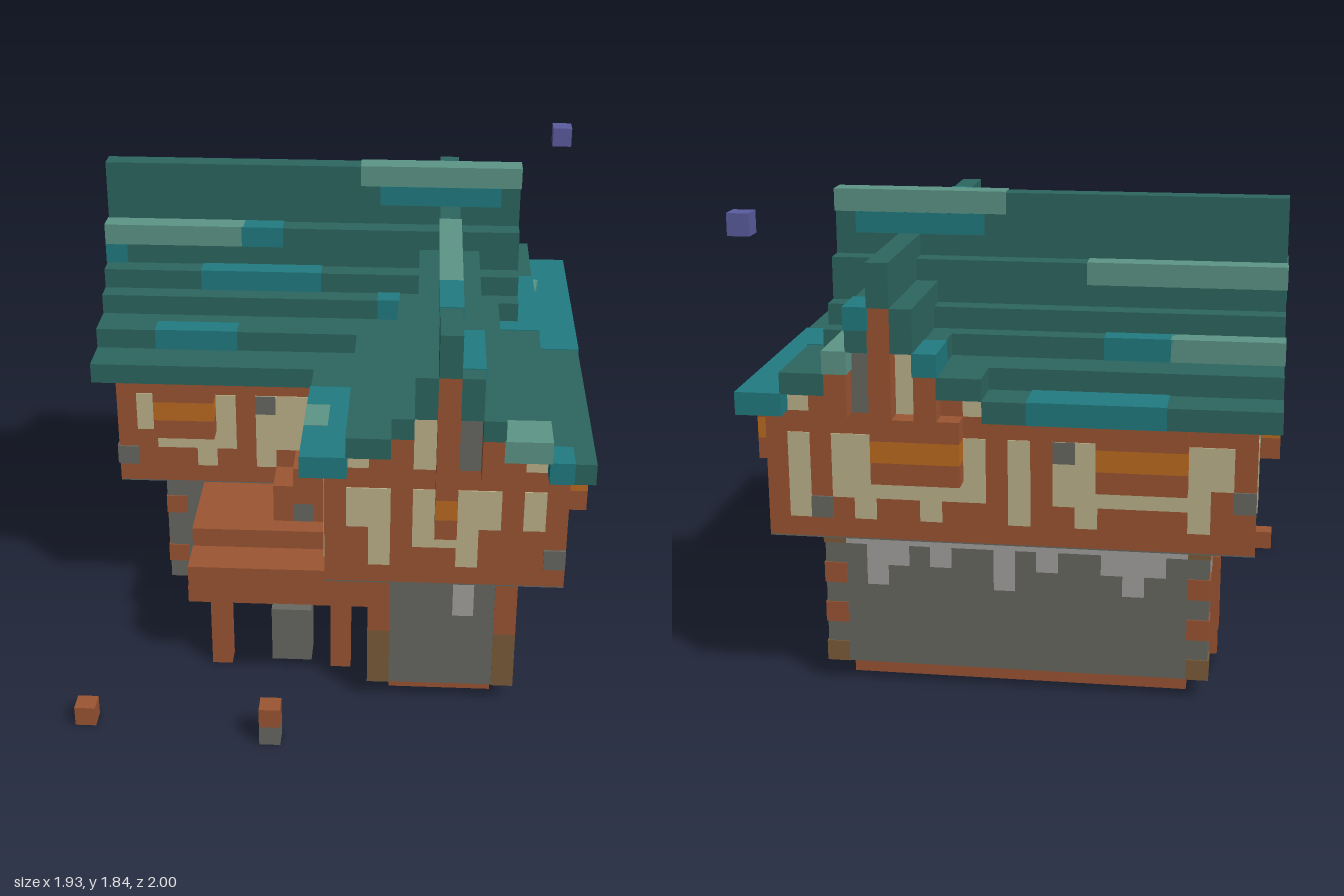
import * as THREE from 'three';

export function createModel() {
  const root = new THREE.Group();
  const mat = (name, color) => Object.assign(new THREE.MeshStandardMaterial({ color }), { name });
  const wood = mat('wood', 0x9c5533), plaster = mat('plaster', 0xbeb38b), stone = mat('stone', 0x686962),
    pale = mat('pale stone', 0xa3a29f), glow = mat('window glow', 0xbd6c20), teal = mat('roof teal', 0x2d665f),
    blue = mat('roof blue', 0x217b81), mint = mat('roof mint', 0x5d9587), violet = mat('violet', 0x5b5c9f),
    oldWood = mat('weathered wood', 0x7b5c3a);

  // box from its limits
  const box = (name, m, x0, x1, y0, y1, z0, z1) => {
    const b = new THREE.Mesh(new THREE.BoxGeometry(Math.abs(x1 - x0), y1 - y0, Math.abs(z1 - z0)), m);
    b.position.set((x0 + x1) / 2, (y0 + y1) / 2, (z0 + z1) / 2);
    b.name = name;
    root.add(b);
  };
  // box standing out from a wall: axis is the wall normal, off its position, d the signed depth
  const onWall = (name, m, axis, off, u0, u1, y0, y1, d) => axis === 'z'
    ? box(name, m, u0, u1, y0, y1, off, off + d)
    : box(name, m, off, off + d, y0, y1, u0, u1);

  // plinth
  box('plinth', wood, -0.64, 0.64, 0, 0.08, -0.68, -0.12);
  box('wingPlinth', wood, 0.24, 0.64, 0, 0.08, -0.12, 0.6);
  box('doorStep', wood, -0.72, -0.64, 0, 0.08, -0.52, -0.2);
  box('porchFloor', wood, -0.64, 0.24, 0, 0.08, -0.12, 0.04);

  // stone ground floor
  box('groundFloor', stone, -0.72, 0.72, 0.08, 0.64, -0.76, -0.04);
  box('wingGroundFloor', stone, 0.16, 0.72, 0.08, 0.64, -0.04, 0.68);

  // overhanging timber floor, stone underneath
  box('upperFloor', wood, -0.88, 0.88, 0.645, 1.12, -0.92, 0.12);
  box('wingUpperFloor', wood, 0, 0.88, 0.645, 1.12, 0.12, 0.84);
  box('overhangUnderside', stone, -0.88, 0.88, 0.64, 0.645, -0.92, 0.12);
  box('wingOverhangUnderside', stone, 0, 0.88, 0.64, 0.645, 0.12, 0.84);

  // plaster drips on the ground floor walls: columns of pale stone from the top
  const drips = (axis, off, s, start, depths) => depths.forEach((n, i) => {
    if (n) onWall('paleDrip', pale, axis, off, start - i * 0.08, start - (i + 1) * 0.08, 0.64 - n * 0.08, 0.64, s * 0.005);
  });
  drips('x', 0.72, 1, 0.6, [2, 3, 2, 3, 1, 1, 2, 1, 1, 3, 3, 2, 1, 1, 2, 1]);
  drips('z', 0.68, 1, 0.64, [1, 3, 1, 1, 0, 1]);
  drips('z', -0.04, 1, 0.08, [1, 1, 0, 0, 0, 1, 1, 0, 1]);
  drips('z', -0.76, -1, 0.64, [1, 3, 2, 1, 2, 1, 1, 3, 1, 2, 1, 1, 2, 3, 2, 1]);
  drips('x', -0.72, -1, -0.12, [1, 2, 0, 0, 0, 0, 2, 1]);

  // corner posts with weathered feet
  const post = (x, z, sx, sz) => {
    box('cornerPost', wood, x + sx * 0.005, x - sx * 0.08, 0.32, 0.64, z + sz * 0.005, z - sz * 0.08);
    box('cornerPostFoot', oldWood, x + sx * 0.005, x - sx * 0.08, 0.08, 0.32, z + sz * 0.005, z - sz * 0.08);
  };
  post(0.72, 0.68, 1, 1);
  post(0.16, 0.68, -1, 1);
  for (const [x, s] of [[0.72, 1], [-0.72, -1]])
    [[0.08, 0.16, oldWood], [0.24, 0.32, wood], [0.4, 0.48, wood], [0.56, 0.64, oldWood]].forEach(([a, b, m]) =>
      box('cornerQuoin', m, x + s * 0.005, x - s * 0.08, a, b, -0.765, -0.68));
  box('cornerQuoin', wood, -0.725, -0.64, 0.4, 0.48, -0.12, -0.035);
  box('cornerQuoin', wood, -0.725, -0.64, 0.16, 0.24, -0.12, -0.035);

  // side door
  onWall('door', oldWood, 'x', -0.72, -0.44, -0.28, 0.08, 0.4, -0.008);
  for (const z of [-0.52, -0.28]) onWall('doorPost', wood, 'x', -0.72, z, z + 0.08, 0.08, 0.48, -0.03);
  onWall('doorLintel', wood, 'x', -0.72, -0.52, -0.2, 0.4, 0.48, -0.03);

  // upper walls: plaster panels [u0, u1, bottom, top] and protruding windows [u0, u1]
  const timberWall = (axis, off, s, panels, windows, greys = []) => {
    for (const [a, b, y0 = 0.8, y1 = 1.04] of panels) onWall('plasterPanel', plaster, axis, off, a, b, y0, y1, s * 0.005);
    for (const [a, b, y0, y1] of greys) onWall('stonePatch', stone, axis, off, a, b, y0, y1, s * 0.008);
    for (const [a, b] of windows) {
      onWall('windowSill', wood, axis, off, a, b, 0.88, 0.96, s * 0.08);
      onWall('windowPane', glow, axis, off, a, b, 0.96, 1.04, s * 0.08);
      onWall('windowLintel', wood, axis, off, a, b, 1.04, 1.12, s * 0.08);
    }
  };
  // front of main block and of wing
  timberWall('z', 0.12, 1, [[-0.8, -0.72, 0.88], [-0.72, -0.4], [-0.56, -0.48, 0.72, 0.8], [-0.32, -0.24, 0.72],
    [-0.24, 0]], [[-0.72, -0.48]], [[-0.32, -0.24, 0.96, 1.04], [-0.88, -0.8, 0.72, 0.8]]);
  timberWall('z', 0.84, 1, [[0.08, 0.16, 0.88], [0.16, 0.24, 0.72], [0.32, 0.4], [0.4, 0.48, 0.8, 0.88], [0.48, 0.56, 0.72],
    [0.56, 0.64, 0.88], [0.72, 0.8, 0.88]], [[0.4, 0.48]], [[0.8, 0.88, 0.72, 0.8]]);
  // right side
  timberWall('x', 0.88, 1, [[0.68, 0.76], [0.36, 0.68, 0.8, 0.88], [0.52, 0.6, 0.72, 0.8], [0.36, 0.44], [0.2, 0.28, 0.72, 1.12],
    [0.04, 0.12, 0.72], [-0.12, 0.04, 0.8, 0.88], [-0.2, -0.12, 0.72], [-0.36, -0.28, 0.72], [-0.52, -0.44, 0.8],
    [-0.76, -0.52, 0.8, 0.88], [-0.68, -0.6, 0.72, 0.8], [-0.84, -0.76, 0.72]],
    [[0.44, 0.68], [-0.12, 0.04], [-0.76, -0.52]],
    [[0.36, 0.44, 0.96, 1.04], [0.28, 0.36, 0.72, 0.8], [-0.12, -0.04, 0.72, 0.8], [-0.36, -0.28, 0.96, 1.04]]);
  // back
  timberWall('z', -0.92, -1, [[0.72, 0.8, 0.72], [0.56, 0.64], [0.48, 0.56, 0.72], [0.16, 0.48, 0.8, 0.88], [0.24, 0.32, 0.72, 0.8],
    [0.08, 0.16], [-0.08, 0, 0.72], [-0.24, -0.16], [-0.32, -0.24, 0.72], [-0.64, -0.32, 0.8, 0.88], [-0.72, -0.64, 0.72], [-0.8, -0.72, 0.88]],
    [[0.16, 0.48], [-0.64, -0.32]], [[0.64, 0.72, 0.72, 0.8], [-0.24, -0.16, 0.96, 1.04], [-0.88, -0.8, 0.8, 0.88]]);
  // left side, and left side of wing
  timberWall('x', -0.88, -1, [[-0.84, -0.76], [-0.68, -0.6, 0.72], [-0.6, -0.2, 0.8, 0.88], [-0.6, -0.52], [-0.28, -0.2], [-0.12, -0.04, 0.72]],
    [[-0.52, -0.28]], [[0.04, 0.12, 0.72, 0.8], [-0.6, -0.52, 0.96, 1.04]]);
  timberWall('x', 0, -1, [[0.2, 0.28, 0.72], [0.28, 0.68, 0.8, 0.88], [0.28, 0.36], [0.6, 0.68], [0.72, 0.8, 0.72]], [[0.36, 0.6]]);

  // stepped roofs: steps of [outer half width, bottom, top], running along axis and centred on c
  const roof = (axis, c, l0, l1, steps, cut = []) => steps.forEach(([h, y0, y1], i) => {
    const inner = i + 1 < steps.length ? steps[i + 1][0] : 0;
    const end = cut[i] ?? l1;
    const bar = (a, b) => axis === 'x' ? box('roofStep', teal, l0, end, y0, y1, c + a, c + b)
      : box('roofStep', teal, c + a, c + b, y0, y1, l0, l1);
    if (!inner) return bar(-h, h);
    bar(inner, h);
    bar(-h, -inner);
  });
  const mainSteps = [[0.6, 1.12, 1.2], [0.44, 1.2, 1.28], [0.28, 1.28, 1.36], [0.2, 1.36, 1.44], [0.12, 1.44, 1.6], [0.04, 1.6, 1.84]];
  const wingSteps = [[0.52, 1.12, 1.2], [0.36, 1.2, 1.28], [0.2, 1.28, 1.36], [0.12, 1.36, 1.52], [0.04, 1.52, 1.68]];
  roof('x', -0.4, -0.96, 0.72, mainSteps, [0, 0.16]);
  roof('z', 0.44, -1, 0.92, wingSteps);

  // gable infill columns [a, b, top, material] under the roofs
  for (const [a, b, top, m] of [[-0.44, -0.28, 1.2, wood], [-0.28, -0.2, 1.28, plaster], [-0.2, -0.12, 1.28, wood], [-0.12, -0.04, 1.44, wood],
    [-0.04, 0.04, 1.6, plaster], [0.04, 0.12, 1.44, wood], [0.12, 0.2, 1.28, wood], [0.2, 0.28, 1.28, plaster], [0.28, 0.44, 1.2, wood]])
    box('mainGable', m, -0.88, 0.64, 1.12, top, -0.4 + a, -0.4 + b);
  for (const [x, d] of [[0.64, 0.008], [-0.88, -0.008]]) {
    onWall('gableWindow', glow, 'x', x, -0.44, -0.36, 1.44, 1.52, d);
    for (const z of [-0.6, -0.28]) onWall('gableBracket', wood, 'x', x, z, z + 0.08, 1.28, 1.36, d * 9);
  }
  for (const [a, b, top, m] of [[-0.36, -0.28, 1.2, plaster], [-0.28, -0.2, 1.2, wood], [-0.2, -0.12, 1.28, wood], [-0.12, -0.04, 1.36, plaster],
    [-0.04, 0.04, 1.52, wood], [0.04, 0.12, 1.36, stone], [0.12, 0.2, 1.28, wood], [0.2, 0.28, 1.2, wood], [0.28, 0.36, 1.2, plaster]])
    box('wingGable', m, 0.44 + a, 0.44 + b, 1.12, top, -0.92, 0.84);
  for (const [z, d] of [[0.84, 0.08], [-0.92, -0.08]]) {
    onWall('gableKingPost', wood, 'z', z, 0.4, 0.48, 1.12, 1.52, d);
    for (const x of [0.24, 0.56]) onWall('gableBracket', wood, 'z', z, x, x + 0.08, 1.12, 1.28, d);
  }

  // coloured tiles wrapping the steps
  const e = 0.004;
  const tile = (m, x0, x1, y0, y1, z0, z1) => box('roofTiles', m, x0 - e, x1 + e, y0, y1 + e, z0 - e, z1 + e);
  const tiles = [
    [mint, 0.08, 0.72, 1.76, 1.84, -0.44, -0.36], [blue, 0.16, 0.64, 1.68, 1.755, -0.44, -0.36],
    [mint, -0.96, -0.4, 1.52, 1.6, -0.36, -0.28], [blue, -0.4, -0.24, 1.52, 1.6, -0.36, -0.28],
    [blue, -0.96, -0.88, 1.44, 1.515, -0.36, -0.28], [blue, -0.56, -0.08, 1.36, 1.44, -0.28, -0.2],
    [blue, -0.72, -0.4, 1.2, 1.28, -0.04, 0.04], [blue, 0.16, 0.24, 1.28, 1.36, -0.2, -0.12],
    [blue, -0.56, -0.08, 1.12, 1.2, -1, -0.84], [mint, -0.96, -0.56, 1.28, 1.36, -0.68, -0.6],
    [blue, -0.56, -0.32, 1.28, 1.36, -0.68, -0.6], [mint, -0.96, -0.24, 1.52, 1.6, -0.52, -0.44],
    [blue, 0.8, 0.96, 1.12, 1.2, -1, -0.04], [blue, 0.64, 0.8, 1.2, 1.28, -0.6, -0.04],
    [mint, 0.8, 0.88, 1.195, 1.2, -0.76, -0.6], [mint, 0.64, 0.8, 1.2, 1.28, 0.76, 0.92],
    [blue, 0.8, 0.88, 1.12, 1.2, 0.8, 0.92], [mint, 0.56, 0.64, 1.28, 1.36, -1, -0.6],
    [mint, 0.4, 0.48, 1.6, 1.68, -0.2, 0.44], [blue, 0.4, 0.48, 1.6, 1.68, 0.44, 0.68],
    [blue, 0.48, 0.56, 1.44, 1.52, 0.52, 0.84], [blue, 0.48, 0.56, 1.44, 1.52, -1, -0.84],
    [blue, -0.08, 0.08, 1.12, 1.2, 0.36, 0.92], [mint, -0.08, 0, 1.125, 1.203, 0.52, 0.68],
    [blue, 0.24, 0.32, 1.28, 1.36, -1, -0.8],
  ];
  for (const t of tiles) tile(...t);

  // porch with stepped roof, posts, hearth and small gable on top
  box('porchRoofLower', wood, -0.56, 0.16, 0.32, 0.48, 0.36, 0.52);
  box('porchRoofUpper', wood, -0.56, 0.16, 0.48, 0.56, -0.04, 0.36);
  for (const x of [-0.48, 0]) box('porchPost', wood, x, x + 0.08, 0, 0.32, 0.4, 0.48);
  box('porchBackPost', wood, -0.24, -0.16, 0.24, 0.48, -0.04, 0.04);
  box('hearth', stone, -0.24, -0.08, 0, 0.24, 0.32, 0.44);
  for (const x of [-0.24, -0.08]) box('porchGableSide', wood, x, x + 0.08, 0.56, 0.72, 0.12, 0.28);
  box('porchGableTop', wood, -0.16, -0.08, 0.64, 0.8, 0.12, 0.28);
  box('porchGableInfill', stone, -0.16, -0.08, 0.56, 0.64, 0.12, 0.28);

  // loose marker blocks around the house
  box('markerBlock', violet, 0.88, 0.96, 1.76, 1.84, -1, -0.92);
  box('groundBlock', wood, -0.96, -0.88, 0, 0.08, 0.84, 0.92);
  box('shortPostTop', wood, -0.24, -0.16, 0.08, 0.16, 0.92, 1);
  box('shortPostFoot', stone, -0.24, -0.16, 0, 0.08, 0.92, 1);
  return root;
}
